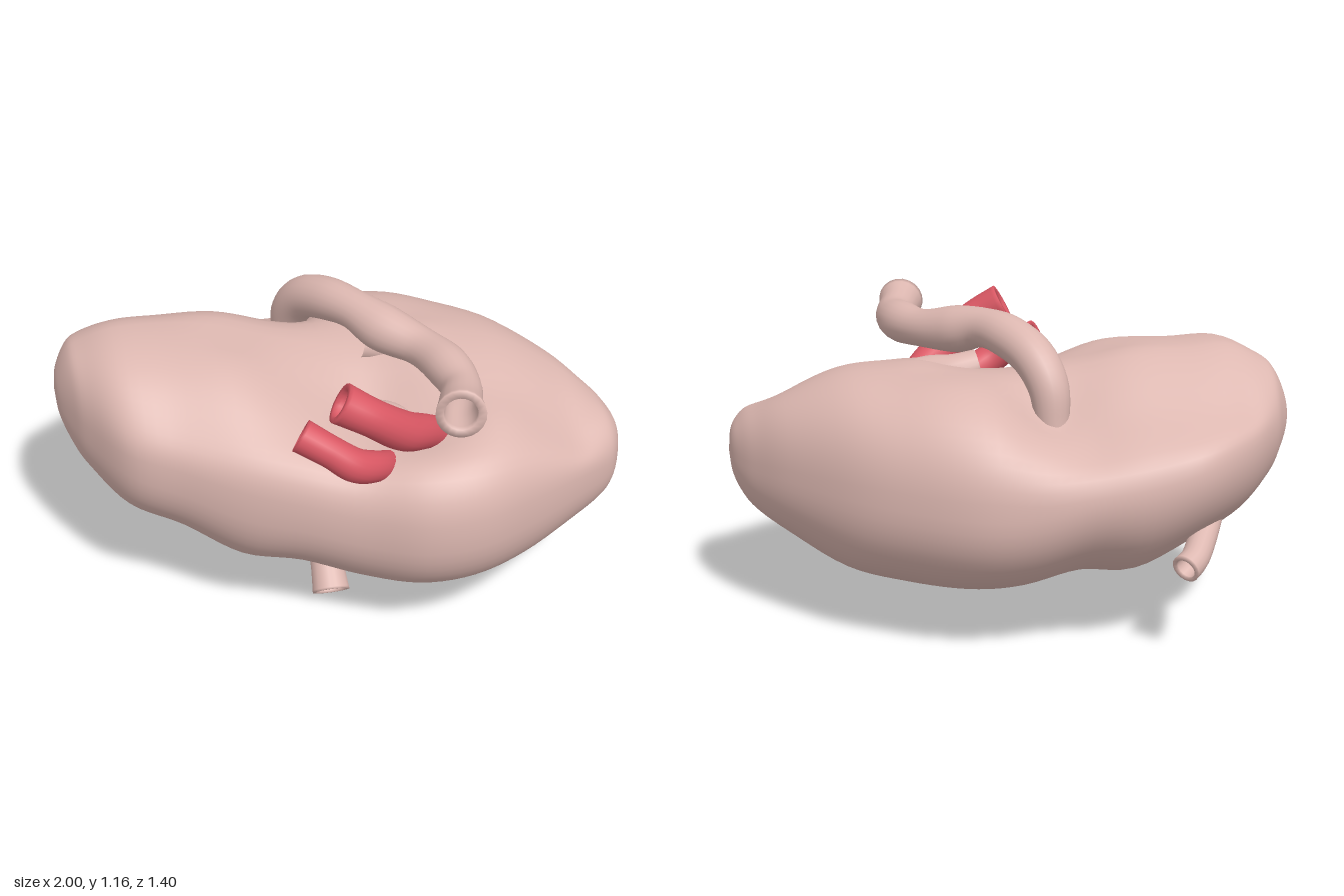
import * as THREE from 'three';

const flesh = new THREE.MeshStandardMaterial({ color: 0xdcb7b0, side: THREE.DoubleSide });
const red = new THREE.MeshStandardMaterial({ color: 0xd95763, side: THREE.DoubleSide });

// Skin a list of closed rings of points
function loft(rings) {
  const n = rings[0].length, pos = [], idx = [];
  rings.forEach(r => r.forEach(p => pos.push(p.x, p.y, p.z)));
  for (let i = 0; i < rings.length - 1; i++) {
    for (let j = 0; j < n; j++) {
      const a = i * n + j, b = i * n + (j + 1) % n;
      idx.push(a, b, a + n, b, b + n, a + n);
    }
  }
  const g = new THREE.BufferGeometry();
  g.setAttribute('position', new THREE.Float32BufferAttribute(pos, 3));
  g.setIndex(idx);
  g.computeVertexNormals();
  return g;
}

function add(group, name, geometry, material) {
  const m = new THREE.Mesh(geometry, material);
  m.name = name;
  group.add(m);
  return m;
}

// Hollow vessel: points are [x, y, z, radius]; the wall turns inward at the last point
function vessel(points, wall = 0.72, segments = 40, sides = 18) {
  const curve = new THREE.CatmullRomCurve3(points.map(p => new THREE.Vector3(p[0], p[1], p[2])));
  const radii = new THREE.CatmullRomCurve3(points.map((p, i) => new THREE.Vector3(i, p[3], 0)), false, 'catmullrom');
  const frames = curve.computeFrenetFrames(segments, false);
  const ring = (i, scale) => {
    const u = i / segments, c = curve.getPointAt(u);
    const r = radii.getPoint(curve.getUtoTmapping(u)).y * scale;
    return Array.from({ length: sides }, (_, j) => {
      const a = j / sides * Math.PI * 2;
      return c.clone()
        .addScaledVector(frames.normals[i], r * Math.cos(a))
        .addScaledVector(frames.binormals[i], r * Math.sin(a));
    });
  };
  const rings = [];
  for (let i = 0; i <= segments; i++) rings.push(ring(i, 1));
  for (let i = segments; i >= segments * 0.5; i--) rings.push(ring(i, wall));
  return loft(rings);
}

// Main body sections: x, bottom, top, back, front
const stations = [
  [-1, 0.78, 0.78, -0.2, -0.2],
  [-0.99, 0.69, 0.86, -0.28, -0.11],
  [-0.95, 0.59, 0.95, -0.36, 0.0],
  [-0.9, 0.52, 0.99, -0.44, 0.1],
  [-0.78, 0.41, 1.04, -0.57, 0.27],
  [-0.6, 0.33, 1.035, -0.68, 0.36],
  [-0.4, 0.22, 1.035, -0.7, 0.46],
  [-0.2, 0.22, 0.985, -0.69, 0.54],
  [0, 0.17, 0.955, -0.67, 0.61],
  [0.2, 0.155, 0.965, -0.635, 0.69],
  [0.4, 0.17, 0.97, -0.535, 0.69],
  [0.6, 0.21, 0.95, -0.39, 0.61],
  [0.8, 0.32, 0.86, -0.17, 0.51],
  [0.91, 0.39, 0.78, -0.01, 0.44],
  [0.96, 0.45, 0.73, 0.08, 0.39],
  [0.99, 0.52, 0.68, 0.16, 0.32],
  [1, 0.6, 0.6, 0.24, 0.24],
];

// Hollows and swellings of the upper surface: x, z, radius, height
const topShape = [
  [0.1, 0.2, 0.17, -0.08],
  [-0.14, 0.14, 0.16, -0.03],
  [-0.1, -0.37, 0.11, -0.05],
  [0.22, 0.42, 0.12, -0.025],
  [-0.36, -0.05, 0.13, -0.02],
  [0.24, -0.38, 0.2, 0.03],
  [0.3, 0.0, 0.1, 0.02],
  [0.5, 0.4, 0.12, 0.03],
];

function bodyGeometry() {
  const edge = (a, b) => new THREE.CatmullRomCurve3(
    stations.map(s => new THREE.Vector3(s[0], s[a], s[b])), false, 'catmullrom');
  const low = edge(1, 3), high = edge(2, 4), rows = 80, sides = 64, rings = [];
  const soft = (v, p) => Math.sign(v) * Math.abs(v) ** p;
  const { smoothstep, lerp } = THREE.MathUtils;
  for (let i = 0; i <= rows; i++) {
    const l = low.getPoint(i / rows), h = high.getPoint(i / rows), x = l.x;
    const leftLobe = smoothstep(x, -0.25, 0.15);
    const ring = [];
    for (let j = 0; j < sides; j++) {
      const a = j / sides * Math.PI * 2;
      // full at the front, rounder at the back
      const back = lerp(1.03, Math.cos(a) > 0 ? 0.78 : 0.92, leftLobe);
      const power = Math.sin(a) > 0 ? 0.84 : back;
      const c = soft(Math.cos(a), power), s = soft(Math.sin(a), power);
      const z = (l.z + h.z) / 2 + s * (h.z - l.z) / 2;
      let y = (l.y + h.y) / 2 + c * (h.y - l.y) / 2;
      const up = smoothstep(c, 0.1, 0.8) * smoothstep(0.97 - Math.abs(x), 0, 0.2);
      // the upper front slopes down, and so does the upper back of the right lobe
      y -= lerp(0.05, 0.085, leftLobe) * up * Math.exp(-(((z - 0.37) / 0.2) ** 2));
      y -= 0.085 * (1 - leftLobe) * up * smoothstep(-z, 0.15, 0.5);
      for (const [tx, tz, r, d] of topShape) {
        y += d * up * Math.exp(-((x - tx) ** 2 + (z - tz) ** 2) / (r * r));
      }
      ring.push(new THREE.Vector3(x, y, z));
    }
    rings.push(ring);
  }
  return loft(rings);
}

export function createModel() {
  const model = new THREE.Group();
  model.name = 'organ';
  add(model, 'body', bodyGeometry(), flesh);

  // Large vessel arching over the top
  add(model, 'archVessel', vessel([
    [-0.11, 0.8, -0.35, 0.06],
    [-0.1, 0.94, -0.32, 0.073],
    [-0.06, 1.03, -0.25, 0.078],
    [0.01, 1.08, -0.13, 0.078],
    [0.08, 1.09, -0.02, 0.072],
    [0.16, 1.065, 0.08, 0.086],
    [0.27, 1.045, 0.2, 0.07],
    [0.33, 1.04, 0.34, 0.078],
    [0.345, 1.035, 0.47, 0.07],
    [0.315, 1.045, 0.58, 0.075],
    [0.295, 1.055, 0.66, 0.086],
  ], 0.68, 60, 20), flesh);

  // Low branch running from the arch into the body
  add(model, 'sideBranch', vessel([
    [0.1, 0.95, -0.02, 0.06],
    [0.19, 0.93, -0.02, 0.065],
    [0.28, 0.92, 0.01, 0.065],
    [0.37, 0.895, 0.03, 0.06],
    [0.45, 0.83, 0.04, 0.05],
  ]), flesh);

  // Small fold in the hollow beneath the arch
  const fold = add(model, 'fold', new THREE.SphereGeometry(1, 20, 12), flesh);
  fold.scale.set(0.1, 0.04, 0.05);
  fold.position.set(0.15, 0.81, 0.25);
  fold.rotation.y = -0.8;

  // Two red vessels at the front
  add(model, 'upperRedVessel', vessel([
    [0.33, 0.75, 0.33, 0.055],
    [0.25, 0.835, 0.42, 0.06],
    [0.14, 0.905, 0.5, 0.07],
    [0.02, 1.0, 0.54, 0.066],
    [-0.085, 1.06, 0.52, 0.073],
  ]), red);
  add(model, 'lowerRedVessel', vessel([
    [0.12, 0.73, 0.43, 0.045],
    [0.04, 0.785, 0.52, 0.055],
    [-0.04, 0.825, 0.555, 0.06],
    [-0.12, 0.88, 0.54, 0.056],
    [-0.215, 0.93, 0.495, 0.06],
  ]), red);

  // Open stubs underneath and at the back
  add(model, 'bottomStub', vessel([
    [-0.04, 0.28, 0.04, 0.05],
    [-0.06, 0.18, 0.13, 0.062],
    [-0.065, 0.11, 0.21, 0.064],
    [-0.065, 0.055, 0.265, 0.07],
  ], 0.85), flesh);
  add(model, 'backStub', vessel([
    [-0.68, 0.5, -0.42, 0.045],
    [-0.61, 0.42, -0.54, 0.05],
    [-0.56, 0.375, -0.62, 0.05],
    [-0.52, 0.355, -0.655, 0.052],
  ]), flesh);

  return model;
}
